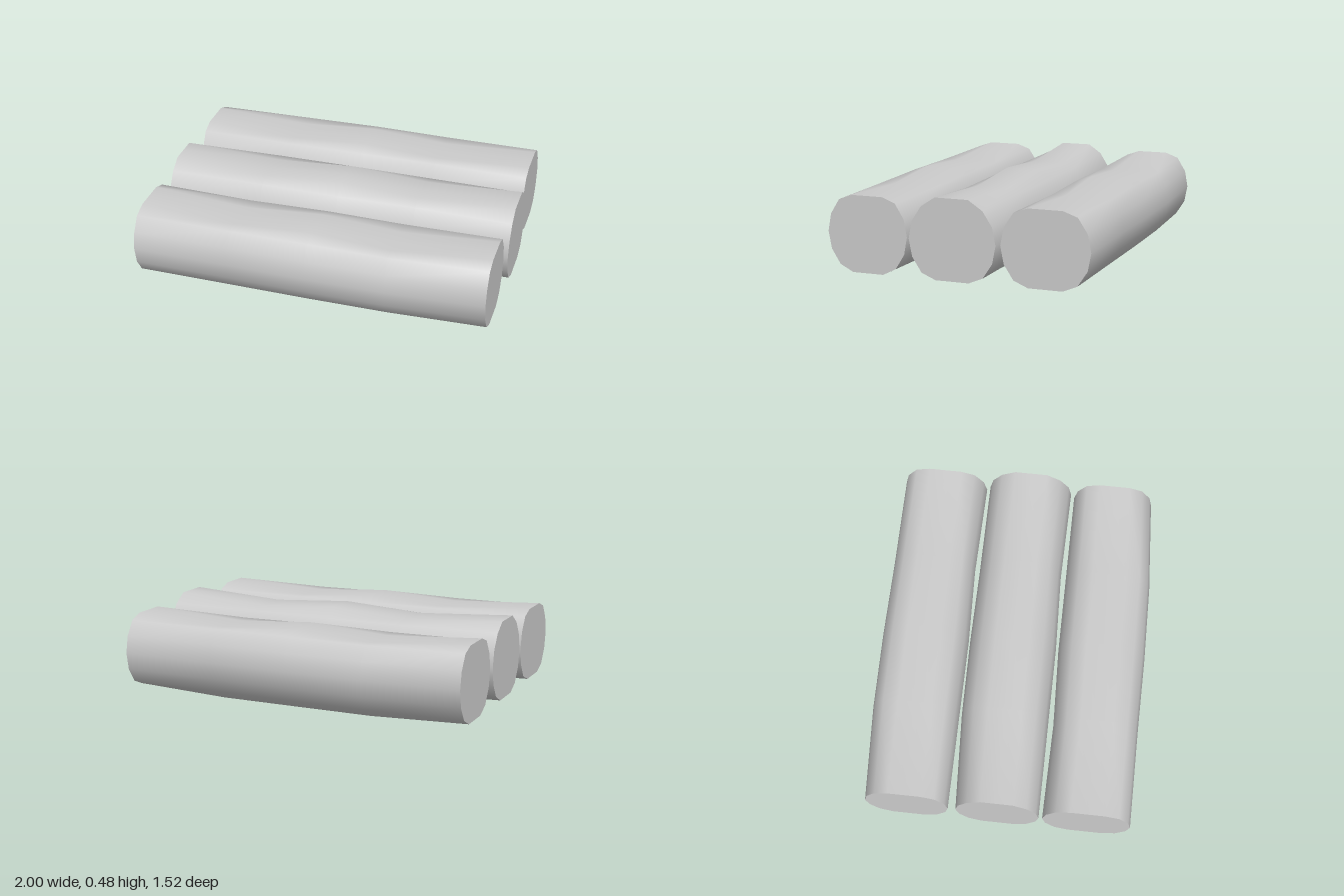
import * as THREE from 'three';

const SIDES = 16;
// Cross-sections along a log: x, z min, z max, flattened bottom, flattened top
const SECTIONS = [
  [-1, -0.22, 0.245, 0.035, 0.455],
  [-0.45, -0.25, 0.245, 0, 0.422],
  [0, -0.255, 0.245, 0, 0.452],
  [0.45, -0.25, 0.23, 0, 0.424],
  [1, -0.25, 0.24, 0.04, 0.455],
];

// One 16-sided ring: a circle squashed between the bottom and top limits
function ring([x, zMin, zMax, yMin, yMax], lift, length) {
  return Array.from({ length: SIDES }, (_, j) => {
    const a = (j / SIDES) * Math.PI * 2;
    return [
      x * length / 2,
      THREE.MathUtils.clamp(0.25 + 0.25 * Math.sin(a), yMin, yMax + lift),
      (zMin + zMax) / 2 + ((zMax - zMin) / 2) * Math.cos(a),
    ];
  });
}

function logGeometry(lift, length) {
  const rings = SECTIONS.map((s) => ring(s, lift, length));
  const last = rings.length - 1;
  const points = rings.flat();
  const index = [];
  // Smooth bark
  for (let i = 0; i < last; i++) {
    for (let j = 0; j < SIDES; j++) {
      const k = (j + 1) % SIDES;
      const a = i * SIDES + j, b = a + SIDES, c = (i + 1) * SIDES + k, d = i * SIDES + k;
      index.push(a, b, c, a, c, d);
    }
  }
  // Flat cut ends, with their own vertices to keep the rim sharp
  for (const end of [0, last]) {
    const base = points.length;
    points.push(...rings[end]);
    for (let j = 1; j < SIDES - 1; j++) {
      if (end === 0) index.push(base, base + j, base + j + 1);
      else index.push(base, base + j + 1, base + j);
    }
  }
  const geometry = new THREE.BufferGeometry();
  geometry.setAttribute('position', new THREE.Float32BufferAttribute(points.flat(), 3));
  geometry.setIndex(index);
  geometry.computeVertexNormals();
  return geometry;
}

export function createModel() {
  const group = new THREE.Group();
  group.name = 'logs';
  const material = new THREE.MeshStandardMaterial({ color: 0xcccccc });

  const addLog = (name, x, z, turn, lift, length) => {
    const log = new THREE.Mesh(logGeometry(lift, length), material);
    log.name = name;
    log.position.set(x, 0, z);
    log.rotation.y = turn;
    group.add(log);
  };

  // The front log is the same shape turned end for end; the middle one is slightly larger
  addLog('frontLog', -0.01, 0.505, Math.PI, 0, 1.98);
  addLog('middleLog', 0, 0, 0, 0.024, 2);
  addLog('backLog', -0.01, -0.508, 0, 0, 1.98);
  return group;
}
